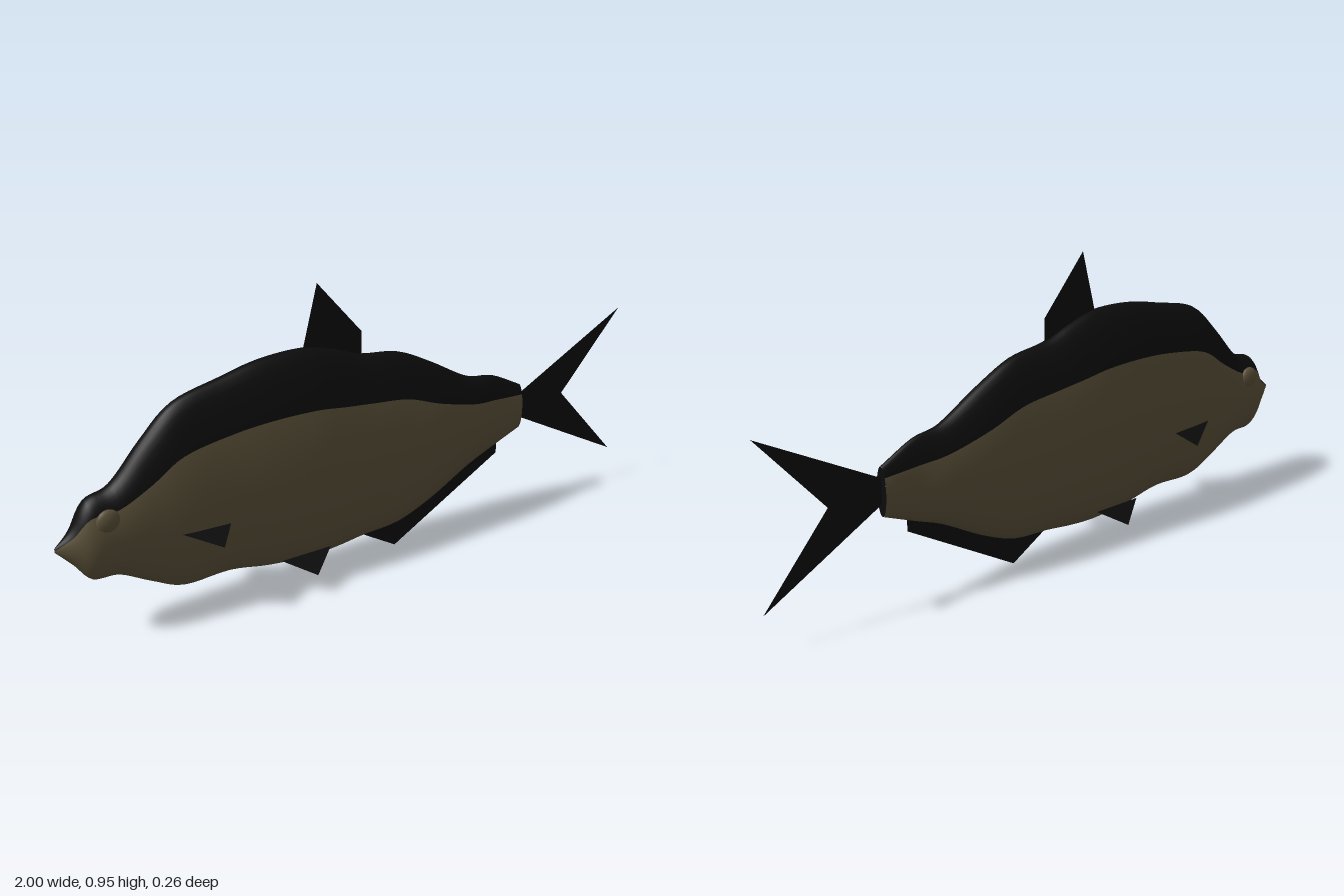
import * as THREE from 'three';

const back = new THREE.MeshStandardMaterial({ name: 'blackBack', color: 0x0c0c0c });
const flank = new THREE.MeshStandardMaterial({ name: 'oliveFlank', color: 0x5a5039 });
const fin = new THREE.MeshStandardMaterial({ name: 'blackFin', color: 0x0b0b0b, side: THREE.DoubleSide });

// body stations: x, top, bottom, colour line, half width
const STATIONS = [
  [-1, 0.335, 0.325, 0.331, 0.003], [-0.95, 0.38, 0.27, 0.365, 0.033],
  [-0.9, 0.46, 0.21, 0.42, 0.058], [-0.82, 0.49, 0.2, 0.43, 0.063],
  [-0.72, 0.6, 0.145, 0.485, 0.07], [-0.62, 0.69, 0.1, 0.55, 0.078],
  [-0.47, 0.73, 0.102, 0.58, 0.082], [-0.34, 0.757, 0.078, 0.592, 0.088],
  [-0.2, 0.76, 0.064, 0.59, 0.09], [-0.1, 0.735, 0.068, 0.575, 0.086],
  [0, 0.697, 0.08, 0.56, 0.081], [0.13, 0.675, 0.09, 0.54, 0.074],
  [0.25, 0.615, 0.138, 0.495, 0.069], [0.39, 0.533, 0.215, 0.452, 0.052],
  [0.49, 0.512, 0.255, 0.437, 0.032], [0.6, 0.455, 0.3, 0.425, 0.023],
];

// elliptical rings swept along x; the first UP columns are the dark back
function bodyGeometry() {
  const UP = 14, LOW = 26, RINGS = 75, N = UP + LOW;
  const curve = (a, b) => new THREE.CatmullRomCurve3(
    STATIONS.map(s => new THREE.Vector3(s[0], s[a], s[b])), false, 'catmullrom', 0.5);
  const outline = curve(1, 2), side = curve(3, 4);
  const positions = [], index = [];
  for (let i = 0; i <= RINGS; i++) {
    const o = outline.getPoint(i / RINGS), s = side.getPoint(i / RINGS);
    const cy = (o.y + o.z) / 2, ry = (o.y - o.z) / 2;
    const a = Math.asin(THREE.MathUtils.clamp((s.y - cy) / ry, -0.95, 0.95));
    for (let j = 0; j < N; j++) {
      const t = j < UP
        ? a + (Math.PI - 2 * a) * j / UP
        : Math.PI - a + (Math.PI + 2 * a) * (j - UP) / LOW;
      positions.push(o.x, cy + ry * Math.sin(t), Math.max(s.z, 0.002) * Math.cos(t));
    }
  }
  for (let j = 0; j < N; j++) {
    for (let i = 0; i < RINGS; i++) {
      const k = (j + 1) % N;
      const p = i * N + j, q = p + N, r = (i + 1) * N + k, s = i * N + k;
      index.push(p, q, r, p, r, s);
    }
  }
  const g = new THREE.BufferGeometry();
  g.setAttribute('position', new THREE.Float32BufferAttribute(positions, 3));
  g.setIndex(index);
  g.addGroup(0, UP * RINGS * 6, 0);
  g.addGroup(UP * RINGS * 6, LOW * RINGS * 6, 1);
  g.computeVertexNormals();
  return g;
}

export function createModel() {
  const model = new THREE.Group();
  model.name = 'fish';
  const add = (name, geometry, material) => {
    const mesh = new THREE.Mesh(geometry, material);
    mesh.name = name;
    model.add(mesh);
    return mesh;
  };

  add('body', bodyGeometry(), [back, flank]);

  // closed rear end of the body
  const cap = add('tailRoot', new THREE.CircleGeometry(1, 32).rotateY(Math.PI / 2), back);
  cap.scale.set(1, 0.0775, 0.023);
  cap.position.set(0.6, 0.3775, 0);

  // flat fins on the centre plane
  const flatFin = (name, points) => add(name, new THREE.ShapeGeometry(
    new THREE.Shape(points.map(p => new THREE.Vector2(...p)))), fin);
  flatFin('dorsalFin', [[-0.2, 0.72], [-0.2, 0.755], [-0.15, 0.95], [0, 0.77], [0, 0.67]]);
  flatFin('tailFin', [[0.59, 0.415], [1, 0.637], [0.778, 0.38], [1, 0.12], [0.59, 0.345]]);
  flatFin('analFin', [[0, 0.08], [0.125, 0.003], [0.517, 0.23], [0.517, 0.3], [0.13, 0.13]]);

  // paired eyes and small side fins
  const sideFin = (name, corners, s) => {
    const g = new THREE.BufferGeometry();
    g.setAttribute('position', new THREE.Float32BufferAttribute(
      corners.flatMap(([x, y, z]) => [x, y, s * z]), 3));
    g.computeVertexNormals();
    add(name, g, fin);
  };
  for (const s of [1, -1]) {
    const label = s > 0 ? 'Left' : 'Right';
    const eye = add('eye' + label, new THREE.SphereGeometry(0.036, 20, 14), flank);
    eye.scale.z = 0.45;
    eye.position.set(-0.855, 0.405, s * 0.05);
    sideFin('pectoralFin' + label,
      [[-0.65, 0.312, 0.07], [-0.54, 0.262, 0.128], [-0.49, 0.303, 0.075]], s);
    sideFin('pelvicFin' + label,
      [[-0.325, 0.12, 0.072], [-0.235, 0.073, 0.132], [-0.155, 0.12, 0.072]], s);
  }
  return model;
}
